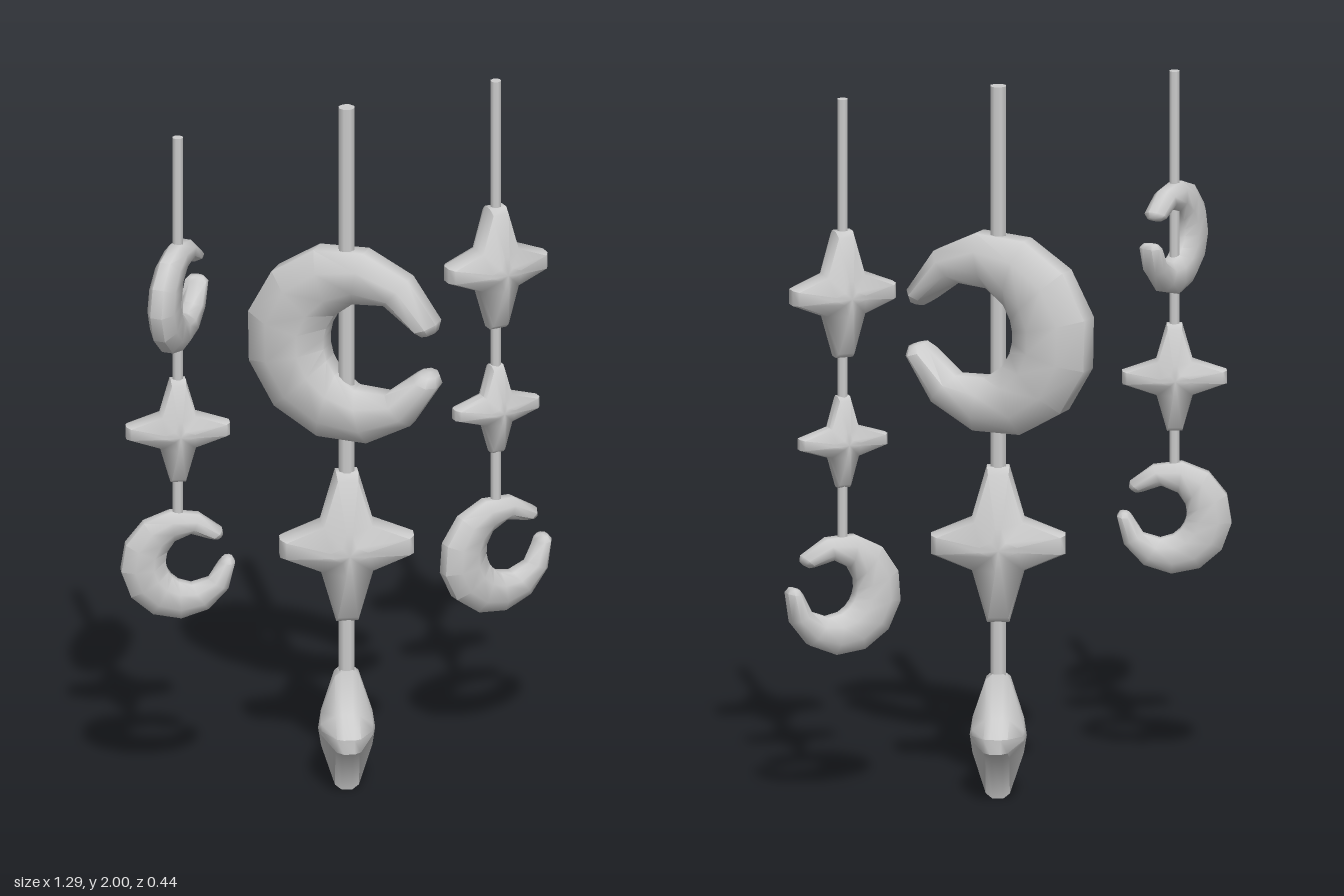
import * as THREE from 'three';
import { toCreasedNormals } from 'three/addons/utils/BufferGeometryUtils.js';

const material = new THREE.MeshStandardMaterial({ color: 0xcccccc });
const Z = -0.012; // depth of the plane in which the strings hang

// Skin over a list of closed rings, closed by a pole at each end
function loft(rings, startPole, endPole) {
  const n = rings[0].length;
  const points = [...rings.flat(), startPole, endPole];
  const start = points.length - 2, end = points.length - 1;
  const last = (rings.length - 1) * n;
  const index = [];
  for (let j = 0; j < n; j++) {
    const k = (j + 1) % n;
    for (let i = 0; i < rings.length - 1; i++) {
      const a = i * n + j, b = i * n + k, c = b + n, d = a + n;
      index.push(a, b, c, a, c, d);
    }
    index.push(start, k, j, end, last + j, last + k);
  }
  const geometry = new THREE.BufferGeometry();
  geometry.setAttribute('position', new THREE.Float32BufferAttribute(points.flat(), 3));
  geometry.setIndex(index);
  return toCreasedNormals(geometry, THREE.MathUtils.degToRad(58));
}

// Crescent: round outside, with a smaller off-centre hole that opens at the gap
function moonGeometry(R, gapDegrees) {
  const gap = THREE.MathUtils.degToRad(gapDegrees);
  const hole = 0.48, offset = 0.28;
  const section = (deg, scale) => {
    const a = THREE.MathUtils.degToRad(deg);
    const inner = offset * Math.cos(a) + Math.sqrt(hole ** 2 - (offset * Math.sin(a)) ** 2);
    const mid = R * (1 + inner) / 2;
    const halfWidth = R * (1 - inner) / 2 * scale;
    const halfDepth = R * (0.225 - 0.03 * Math.cos(a)) * scale;
    const ring = [];
    for (let j = 0; j < 8; j++) {
      const t = (j + 0.5) * Math.PI / 4, k = 1 / Math.cos(Math.PI / 8);
      const r = mid + Math.cos(t) * Math.min(k, 1.08) * halfWidth;
      ring.push([r * Math.cos(a + gap), r * Math.sin(a + gap), -Math.sin(t) * k * halfDepth]);
    }
    return { ring, pole: [mid * Math.cos(a + gap), mid * Math.sin(a + gap), 0] };
  };
  const rings = [section(14, 0.65).ring];
  for (let i = 0; i <= 11; i++) rings.push(section(19 + i * 322 / 11, 1).ring);
  rings.push(section(346, 0.65).ring);
  return loft(rings, section(13, 1).pole, section(347, 1).pole);
}

// Four-pointed star with blunt tips, swelling towards the middle
function starGeometry(w, h) {
  const tip = 0.14 * h, waist = 0.33 * h, depth = 0.45 * h, edge = 0.19 * h;
  const outline = [
    [w, -tip * 0.85], [w, tip * 0.85], [waist, waist],
    [tip, h], [-tip, h], [-waist, waist],
    [-w, tip * 0.85], [-w, -tip * 0.85], [-waist, -waist],
    [-tip, -h], [tip, -h], [waist, -waist],
  ];
  const half = [[0.28, 0.9 * depth], [0.92, edge], [1, edge * 0.45]];
  const layers = [
    ...half.map(([s, z]) => [s, -z]),
    ...half.slice().reverse(),
  ];
  const rings = layers.map(([s, z]) => outline.map(([x, y]) => [x * s, y * s, z]));
  return loft(rings, [0, 0, -depth], [0, 0, depth]);
}

// Strings with their ornaments, from top to bottom (turn in degrees about the string)
const strands = [
  {
    name: 'rightStrand', x: -0.49, radius: 0.015, bottom: 0.87,
    ornaments: [
      { moon: 0.158, y: 1.532, gap: 18, turn: 42 },
      { star: [0.143, 0.15], y: 1.14, turn: -18 },
      { moon: 0.157, y: 0.745, gap: 20, turn: -20 },
    ],
  },
  {
    name: 'middleStrand', x: 0.023, radius: 0.023, bottom: 0.3,
    ornaments: [
      { moon: 0.285, y: 1.305, gap: 1, turn: -46 },
      { star: [0.184, 0.218], y: 0.713, turn: -20 },
      { star: [0.153, 0.174], y: 0.174, turn: 67 },
    ],
  },
  {
    name: 'leftStrand', x: 0.476, radius: 0.015, bottom: 0.74,
    ornaments: [
      { star: [0.15, 0.177], y: 1.453, turn: 0 },
      { star: [0.127, 0.128], y: 1.037, turn: 0 },
      { moon: 0.168, y: 0.607, gap: 25, turn: 3 },
    ],
  },
];

export function createModel() {
  const model = new THREE.Group();
  model.name = 'hangingMobile';
  for (const { name, x, radius, bottom, ornaments } of strands) {
    const strand = new THREE.Group();
    strand.name = name;
    strand.position.set(x, 0, Z);

    // String
    const length = 2 - bottom;
    const cylinder = new THREE.CylinderGeometry(radius, radius, length, 8);
    const string = new THREE.Mesh(cylinder, material);
    string.name = 'string';
    string.position.y = bottom + length / 2;
    strand.add(string);

    // Moons and stars
    for (const o of ornaments) {
      const geometry = o.moon ? moonGeometry(o.moon, o.gap) : starGeometry(...o.star);
      const mesh = new THREE.Mesh(geometry, material);
      mesh.name = o.moon ? 'moon' : 'star';
      mesh.position.y = o.y;
      mesh.rotation.y = THREE.MathUtils.degToRad(o.turn);
      strand.add(mesh);
    }
    model.add(strand);
  }
  return model;
}
